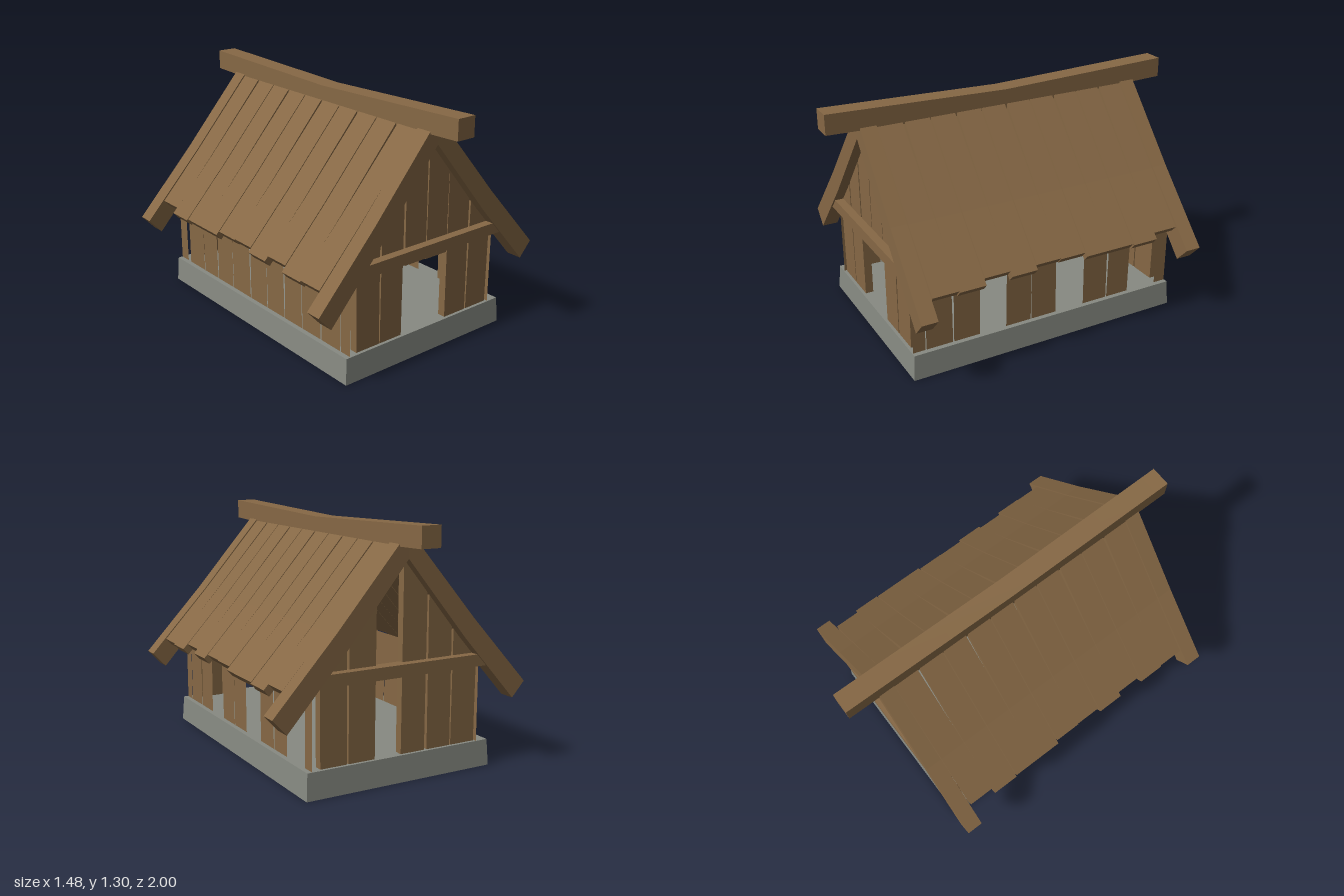
import * as THREE from 'three';

const wood = new THREE.MeshStandardMaterial({ color: 0x866845 });
wood.name = 'weatheredWood';
const stone = new THREE.MeshStandardMaterial({ color: 0x878a82 });
stone.name = 'greyStone';

const FLOOR = 0.138;

export function createModel() {
  const group = new THREE.Group();
  const add = (name, geometry, material = wood) => {
    const mesh = new THREE.Mesh(geometry, material);
    mesh.name = name;
    group.add(mesh);
    return mesh;
  };

  // Outline in the xy plane, extruded between two depths
  const slab = (points, z0, z1) => {
    const shape = new THREE.Shape(points.map(([x, y]) => new THREE.Vector2(x, y)));
    return new THREE.ExtrudeGeometry(shape, { depth: z1 - z0, bevelEnabled: false }).translate(0, 0, z0);
  };

  // Move the vertices of a geometry by a rule
  const bend = (geometry, rule) => {
    const p = geometry.attributes.position;
    const v = new THREE.Vector3();
    for (let i = 0; i < p.count; i++) {
      v.fromBufferAttribute(p, i);
      rule(v);
      p.setXYZ(i, v.x, v.y, v.z);
    }
    geometry.computeVertexNormals();
    return geometry;
  };

  // Stone base, slightly wider at the bottom
  add('foundation', bend(new THREE.BoxGeometry(1.09, 0.14, 1.59).translate(0, 0.07, 0), (v) => {
    if (v.y > 0.1) { v.x *= 0.985; v.z *= 0.99; }
  }), stone);

  // Sagging ridge beam
  add('ridgeBeam', bend(new THREE.BoxGeometry(0.11, 0.108, 2, 1, 1, 2).translate(0, 1.251, 0), (v) => {
    v.y -= 0.03 * (1 - Math.abs(v.z));
  }));

  // Gable walls: upright planks cut to the roof slope; null bottom means no plank
  const gableEdges = [[-0.463, -0.315], [-0.303, -0.16], [-0.15, -0.008], [0.002, 0.144], [0.146, 0.297], [0.311, 0.46]];
  const gables = [
    { side: 1, bottoms: [FLOOR, FLOOR, 0.518, 0.515, FLOOR, FLOOR] },
    { side: -1, bottoms: [FLOOR, FLOOR, FLOOR, null, FLOOR, FLOOR] },
  ];
  const roofUnderside = (x) => 1.145 - 1.165 * Math.abs(x);
  for (const { side, bottoms } of gables) {
    const wallName = side > 0 ? 'frontWallPlank' : 'backWallPlank';
    gableEdges.forEach(([a, b], i) => {
      if (bottoms[i] === null) return;
      const lean = (i % 2 ? 1 : -1) * 0.003;
      const outline = [[a - lean, bottoms[i]], [b - lean, bottoms[i]], [b, roofUnderside(b)], [a, roofUnderside(a)]];
      add(wallName, slab(outline, side * 0.748 - 0.022, side * 0.748 + 0.022));
    });
    add('crossBeam', new THREE.BoxGeometry(1.02, 0.063, 0.07).translate(0, 0.582, side * 0.782));
  }

  // Side walls: planks made of an outer and an inner face, open at the edges
  const sideEdges = [0.785, 0.71, 0.555, 0.4, 0.25, 0.095, -0.06, -0.23, -0.385, -0.53, -0.69];
  const missing = { 1: [3, 6, 9], '-1': [] };
  const sidePlank = (side, z0, z1, lean) => {
    const height = 0.42;
    const geometry = new THREE.BoxGeometry(0.042, height, Math.abs(z1 - z0));
    geometry.setIndex(Array.from(geometry.index.array.slice(0, 12)));
    geometry.clearGroups();
    geometry.translate(side * 0.489, FLOOR + height / 2, (z0 + z1) / 2);
    return bend(geometry, (v) => { if (v.y > 0.4) v.z += lean; });
  };
  for (const side of [1, -1]) {
    const name = side > 0 ? 'leftWallPlank' : 'rightWallPlank';
    for (let i = 0; i < sideEdges.length - 1; i++) {
      if (missing[side].includes(i)) continue;
      const lean = i === 0 ? 0 : (i % 2 ? 0.004 : -0.004);
      add(name, sidePlank(side, sideEdges[i] - 0.003, sideEdges[i + 1] + 0.003, lean));
    }
    add(name, sidePlank(side, -0.715, -0.785, 0));
  }

  // Roof: gently sagging boards between the heavier end rafters
  const roofLine = (side, points) => points.map(([x, y]) => [side * x, y]);
  const eaves = [0.66, 0.665, 0.64, 0.66, 0.642, 0.645, 0.66, 0.66, 0.665, 0.64];
  for (const side of [1, -1]) {
    for (const end of [1, -1]) {
      const outline = [[0, 1.255], [0.05, 1.21], [0.4, 0.807], [0.74, 0.44], [0.665, 0.358], [0.35, 0.708], [0, 1.13]];
      const rafter = slab(roofLine(side, outline), end * 0.781 - 0.044, end * 0.781 + 0.044);
      add('endRafter', bend(rafter, (v) => {
        v.z += end * 0.007 * (Math.abs(v.x) / 0.74 - 0.5);
      }));
    }
    eaves.forEach((x, i) => {
      const z = 0.661 - i * 0.147;
      const y = 0.44 + (0.74 - x) * 1.08 - 0.004;
      const outline = [[0.02, 1.235], [0.4, 0.803], [x, y], [x - 0.03, y - 0.034], [0.37, 0.772], [0.02, 1.18]];
      const board = slab(roofLine(side, outline), z - 0.0725, z + 0.0725);
      const drift = (i % 2 ? 1 : -1) * 0.004;
      add('roofBoard', bend(board, (v) => {
        const t = Math.abs(v.x) / 0.66;
        v.z = z + (v.z - z) * (0.95 + 0.06 * t) + drift * (t - 0.5);
      }));
    });
  }

  return group;
}
